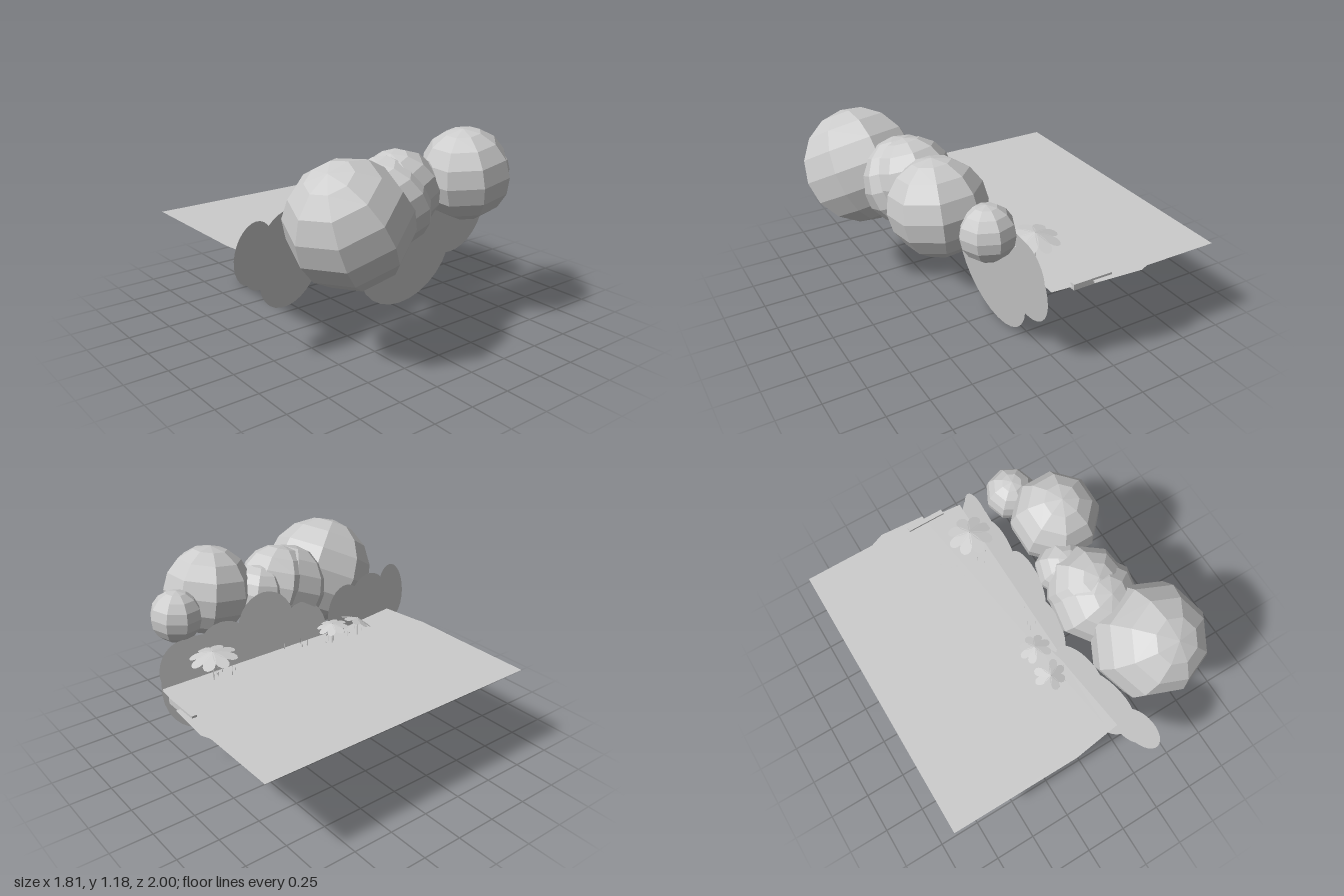
import * as THREE from 'three';

const GROUND_Y = 0.575;
const mat = new THREE.MeshStandardMaterial({ color: 0xcccccc, flatShading: true, side: THREE.DoubleSide });

function seeded(seed) {
  return () => {
    seed = (seed * 16807) % 2147483647;
    return seed / 2147483647;
  };
}

function add(parent, geometry, name) {
  const mesh = new THREE.Mesh(geometry, mat);
  mesh.name = name;
  parent.add(mesh);
  return mesh;
}

// Flat sheet lying on the ground, from [x, z] corners
function sheet(points, y) {
  const shape = new THREE.Shape(points.map(([x, z]) => new THREE.Vector2(x, -z)));
  return new THREE.ShapeGeometry(shape).rotateX(-Math.PI / 2).translate(0, y, 0);
}

// Leaf sheet of overlapping flat lobes [z, y, rz, ry], each laid on a leaning plane
function foliage(name, lobes, planeX) {
  const group = new THREE.Group();
  group.name = name;
  lobes.forEach(([z, y, rz, ry], i) => {
    const geo = new THREE.CircleGeometry(1, 28).rotateY(Math.PI / 2).scale(1, ry, rz).translate(0, y, z);
    const pos = geo.attributes.position;
    for (let k = 0; k < pos.count; k++) {
      pos.setX(k, planeX(pos.getY(k), pos.getZ(k)) + ((i % 4) - 1.5) * 0.004);
    }
    geo.computeVertexNormals();
    add(group, geo, 'leafLobe');
  });
  return group;
}

// Drooping flower with eight rounded petals on a thin stem
function flower(x, y, z, r, tiltX) {
  const group = new THREE.Group();
  group.name = 'flower';
  const head = new THREE.Group();
  head.name = 'flowerHead';
  const petal = new THREE.Shape();
  petal.moveTo(0, 0);
  petal.bezierCurveTo(-0.25 * r, 0.35 * r, -0.4 * r, 0.95 * r, 0, r);
  petal.bezierCurveTo(0.4 * r, 0.95 * r, 0.25 * r, 0.35 * r, 0, 0);
  for (let i = 0; i < 8; i++) {
    const geo = new THREE.ShapeGeometry(petal, 6).rotateX(-Math.PI / 2);
    geo.rotateX(-0.3).rotateY((i * Math.PI) / 4);
    add(head, geo, 'petal');
  }
  head.position.set(x, y, z);
  head.rotation.x = tiltX;
  group.add(head);
  const h = y - GROUND_Y;
  add(group, new THREE.CylinderGeometry(0.003, 0.003, h, 5), 'stem').position.set(x, GROUND_Y + h / 2, z);
  return group;
}

export function createModel() {
  const model = new THREE.Group();
  model.name = 'gardenEdge';

  // Ground with a second, slightly raised sheet
  add(model, sheet([[-0.9, -0.97], [-0.1, -0.97], [-0.1, -0.95], [0.14, -0.93], [0.15, 0.2],
    [0.14, 0.3], [0.2, 0.77], [-0.1, 0.81], [-0.9, 0.81]], GROUND_Y), 'ground');
  add(model, sheet([[-0.48, -0.96], [-0.38, -1], [-0.1, -0.98], [-0.1, -0.95], [0.14, -0.93],
    [0.14, 0.75], [-0.1, 0.8], [-0.32, 0.8]], GROUND_Y + 0.008), 'path');
  add(model, new THREE.BoxGeometry(0.24, 0.035, 0.03), 'edgeStone').position.set(-0.1, GROUND_Y + 0.003, -0.94);

  // Row of faceted bush balls: x, y, z, radius
  const crowns = new THREE.Group();
  crowns.name = 'bushBalls';
  model.add(crowns);
  [
    [0.57, 0.805, 0.48, 0.342],
    [0.44, 0.825, 0.12, 0.26],
    [0.43, 0.87, 0.04, 0.235],
    [0.38, 0.87, -0.12, 0.165],
    [0.5, 0.915, -0.4, 0.265],
    [0.375, 0.87, -0.69, 0.152],
  ].forEach(([x, y, z, r], i) => {
    const ball = add(crowns, new THREE.SphereGeometry(r, 8, 8), 'bushBall');
    ball.position.set(x, y, z);
    ball.rotation.set(0.5 - 0.06 * i, 0.3 * i, -0.12);
  });

  // Leaning leaf sheets behind the balls
  model.add(foliage('backFoliage', [
    [-0.3, 0.37, 0.37, 0.37],
    [-0.68, 0.54, 0.245, 0.27],
    [-0.76, 0.64, 0.16, 0.165],
    [-0.44, 0.62, 0.13, 0.15],
    [-0.12, 0.5, 0.22, 0.24],
    [-0.2, 0.73, 0.2, 0.21],
    [-0.5, 0.64, 0.2, 0.2],
    [0.06, 0.6, 0.18, 0.21],
  ], (y, z) => 0.08 + 0.15 * y));
  model.add(foliage('frontFoliage', [
    [0.58, 0.48, 0.23, 0.24],
    [0.865, 0.65, 0.135, 0.18],
    [0.3, 0.49, 0.15, 0.14],
    [0.4, 0.64, 0.18, 0.19],
    [0.62, 0.66, 0.2, 0.18],
    [0.8, 0.55, 0.12, 0.13],
  ], (y, z) => 0.21 + 0.17 * (y - 0.6) + 0.23 * (z - 0.6)));

  // Flowers in front of the leaves
  model.add(flower(0.06, 0.76, -0.65, 0.145, -0.12));
  model.add(flower(0.02, 0.71, 0.16, 0.1, -0.15));
  model.add(flower(0.01, 0.7, 0.35, 0.1, 0.4));

  // Grass blades and fallen flakes
  const rand = seeded(17);
  const grass = new THREE.Group();
  grass.name = 'grass';
  model.add(grass);
  for (let i = 0; i < 18; i++) {
    const h = 0.04 + 0.05 * rand();
    const blade = add(grass, new THREE.ConeGeometry(0.003, h, 3), 'grassBlade');
    blade.position.set(0.03 + 0.1 * rand(), GROUND_Y + h / 2, -0.65 + 1.15 * rand());
  }
  const flakes = new THREE.Group();
  flakes.name = 'flakes';
  model.add(flakes);
  for (let i = 0; i < 60; i++) {
    const flake = add(flakes, new THREE.CircleGeometry(0.004 + 0.007 * rand(), 5).rotateX(-Math.PI / 2), 'flake');
    const x = -0.36 + 0.36 * rand();
    flake.position.set(x, GROUND_Y + 0.012, -0.65 + 0.6 * rand() + 0.5 * (x + 0.2));
  }
  return model;
}
